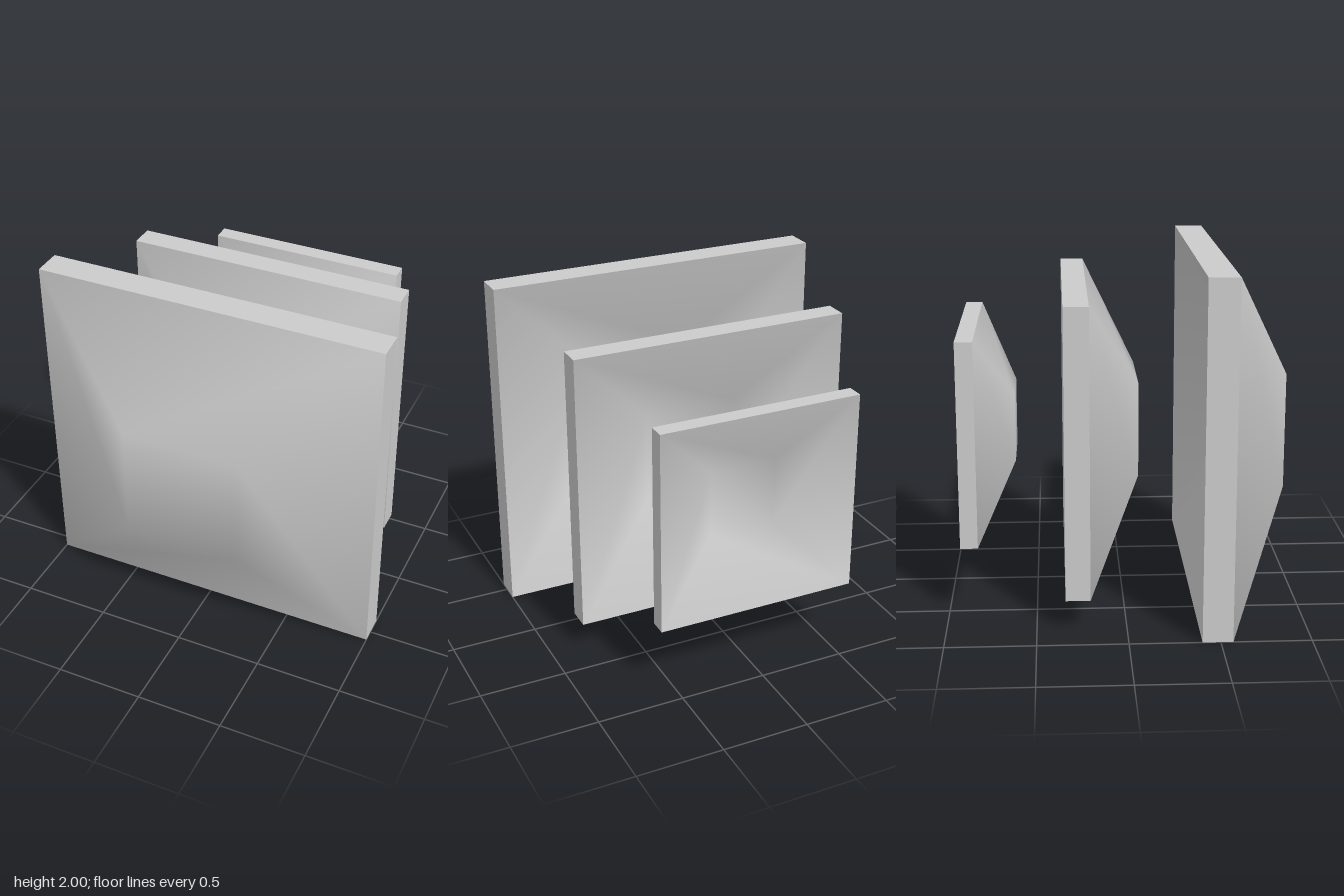
import * as THREE from 'three';

const material = new THREE.MeshStandardMaterial({ color: 0xcccccc });

// Four corners of a square ring, counter-clockwise seen from +z
const ring = (half, z) => [[-1, -1], [1, -1], [1, 1], [-1, 1]].flatMap(([x, y]) => [x * half, y * half, z]);

// Band of four quads from one ring to the next, optionally capped at the second ring
function band(outer, inner, { cap = false, flip = false, flat = false }) {
  const index = [];
  for (let i = 0; i < 4; i++) {
    const j = (i + 1) % 4;
    index.push(i, j, j + 4, i, j + 4, i + 4);
  }
  if (cap) index.push(4, 5, 6, 4, 6, 7);
  if (flip) index.reverse();
  let geometry = new THREE.BufferGeometry();
  geometry.setAttribute('position', new THREE.Float32BufferAttribute([...outer, ...inner], 3));
  geometry.setIndex(index);
  if (flat) geometry = geometry.toNonIndexed();
  geometry.computeVertexNormals();
  return geometry;
}

// Square shell of even thickness whose middle third is pushed forward
function createPlate(name, half, backZ) {
  const frontZ = backZ + half * 0.168;
  const push = half * 0.357;
  const plate = new THREE.Group();
  plate.name = name;
  const add = (part, geometry) => {
    const mesh = new THREE.Mesh(geometry, material);
    mesh.name = part;
    plate.add(mesh);
  };
  add('raisedFront', band(ring(half, frontZ), ring(half / 3, frontZ + push), { cap: true }));
  add('hollowBack', band(ring(half, backZ), ring(half / 3, backZ + push), { cap: true, flip: true }));
  add('rim', band(ring(half, backZ), ring(half, frontZ), { flat: true }));
  plate.position.y = 1;
  return plate;
}

export function createModel() {
  const model = new THREE.Group();
  model.name = 'steppedPlates';
  model.add(
    createPlate('largeFrontPlate', 1, 0.4),
    createPlate('middlePlate', 0.82, -0.34),
    createPlate('smallBackPlate', 0.59, -0.925),
  );
  return model;
}
